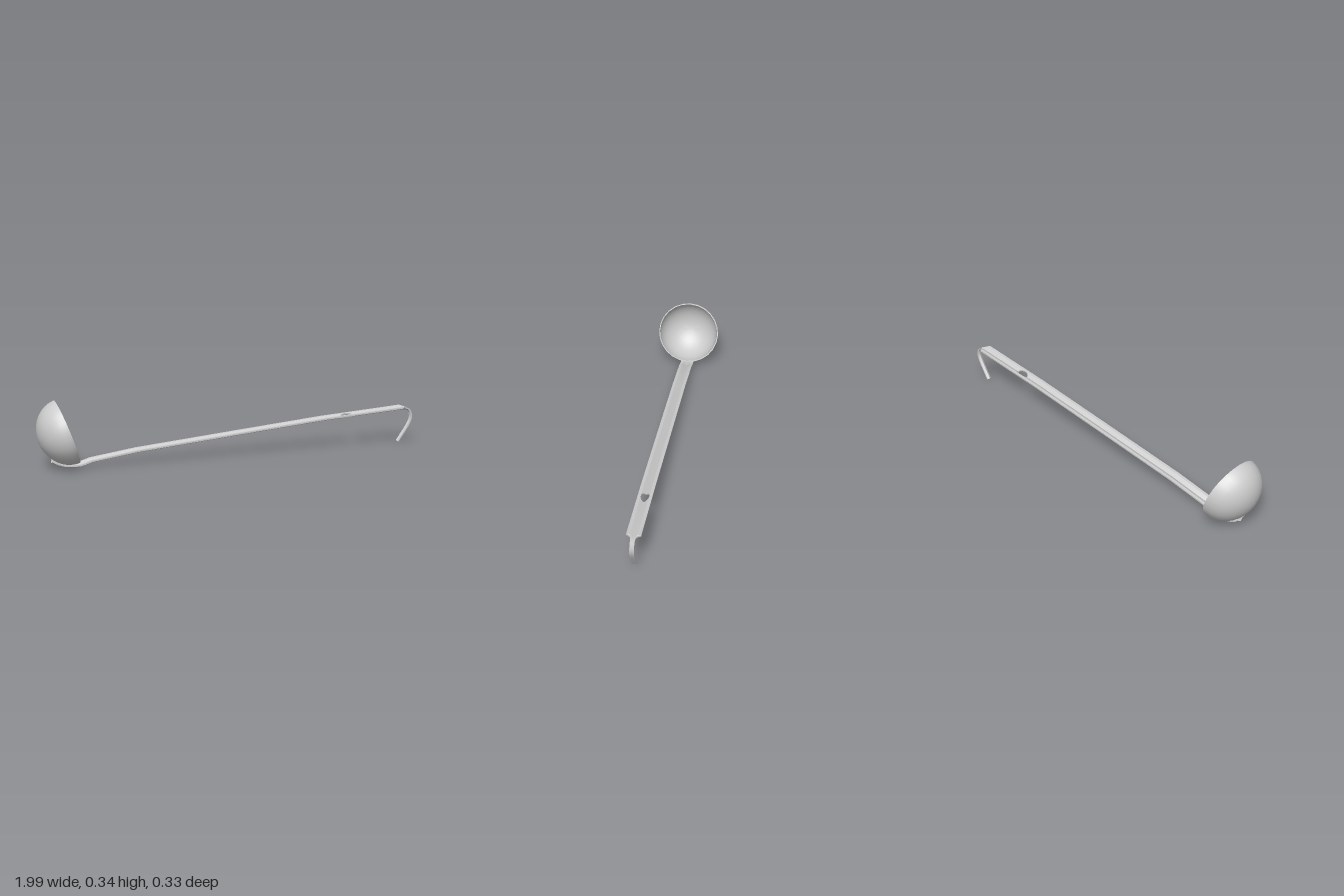
import * as THREE from 'three';
import { toCreasedNormals } from 'three/addons/utils/BufferGeometryUtils.js';

const material = new THREE.MeshStandardMaterial({ color: 0xcccccc, side: THREE.DoubleSide });

// Half-ellipsoid shell, lathed from an outer and an inner arc
function makeBowl() {
  const steps = 9;
  const profile = [];
  const arc = (radius, depth, t) =>
    new THREE.Vector2(radius * Math.sin(t), -depth * Math.cos(t));
  for (let i = 0; i <= steps; i++) profile.push(arc(0.166, 0.148, (i / steps) * Math.PI / 2));
  for (let i = steps; i >= 0; i--) profile.push(arc(0.161, 0.143, (i / steps) * Math.PI / 2));
  const bowl = new THREE.Mesh(toCreasedNormals(new THREE.LatheGeometry(profile, 24), 0.7), material);
  bowl.name = 'bowl';
  bowl.rotation.z = -1.234;
  bowl.position.set(-0.845, 0.187, 0.002);
  return bowl;
}

// Stations along the strip: x, y, half width, half width of the hanging hole
function handleStations() {
  const W = 0.035;
  const stations = [
    [-0.92, 0.05, W, 0], [-0.893, 0.036, W, 0], [-0.867, 0.027, W, 0], [-0.83, 0.022, W, 0],
    [-0.79, 0.022, W, 0], [-0.76, 0.03, W, 0], [-0.73, 0.04, W, 0], [-0.5, 0.073, W, 0],
    [0, 0.121, W, 0], [0.5, 0.168, W, 0],
  ];
  const holeSteps = 12;
  for (let i = 0; i <= holeSteps; i++) {
    const a = (i / holeSteps) * Math.PI;
    const x = 0.625 - 0.036 * Math.cos(a);
    stations.push([x, 0.168 + (x - 0.5) * 0.068, W, 0.02 * Math.sin(a)]);
  }
  // shoulder narrowing into the hook
  stations.push(
    [0.935, 0.198, W, 0], [0.94, 0.198, 0.026, 0], [0.948, 0.198, 0.016, 0], [0.958, 0.197, 0.012, 0],
    [0.973, 0.192, 0.011, 0], [0.987, 0.181, 0.011, 0], [0.996, 0.164, 0.011, 0],
    [1.0, 0.145, 0.011, 0], [0.998, 0.125, 0.011, 0], [0.99, 0.105, 0.011, 0],
    [0.975, 0.078, 0.011, 0], [0.925, 0.004, 0.011, 0],
  );
  return stations;
}

// One half of the grooved strip, side = 1 or -1
function makeHandleHalf(side) {
  const thickness = 0.007;
  const groove = (z) => -0.012 * (1 - Math.min(z / 0.02, 1));
  const stations = handleStations();
  const last = stations.length - 1;
  const positions = [];
  const index = [];
  const tri = (a, b, c) => (side > 0 ? index.push(a, b, c) : index.push(a, c, b));

  stations.forEach(([x, y, width, hole], i) => {
    const before = stations[Math.max(i - 1, 0)];
    const after = stations[Math.min(i + 1, last)];
    const tangent = new THREE.Vector2(after[0] - before[0], after[1] - before[1]).normalize();
    const middle = Math.max(hole + 0.002, Math.min(0.02, width * 0.6));
    const columns = [hole, middle, width];
    const ring = [
      ...columns.map((z) => [z, groove(z)]),
      ...columns.reverse().map((z) => [z, groove(z) - thickness]),
    ];
    for (const [z, h] of ring) positions.push(x - tangent.y * h, y + tangent.x * h, z * side);
  });

  const n = 6;
  for (let i = 0; i < last; i++) {
    for (let j = 0; j < n; j++) {
      const a = i * n + j;
      const b = i * n + ((j + 1) % n);
      tri(a, b, a + n);
      tri(b, b + n, a + n);
    }
  }
  // end caps, one quad per column pair
  for (const [base, end] of [[0, false], [last * n, true]]) {
    for (const [a, b, c, d] of [[0, 1, 4, 5], [1, 2, 3, 4]]) {
      const q = (end ? [a, b, c, d] : [d, c, b, a]).map((k) => k + base);
      tri(q[0], q[1], q[2]);
      tri(q[0], q[2], q[3]);
    }
  }

  const geometry = new THREE.BufferGeometry();
  geometry.setAttribute('position', new THREE.Float32BufferAttribute(positions, 3));
  geometry.setIndex(index);
  const half = new THREE.Mesh(toCreasedNormals(geometry, 0.5), material);
  half.name = side > 0 ? 'handleFrontHalf' : 'handleBackHalf';
  return half;
}

export function createModel() {
  const model = new THREE.Group();
  model.name = 'ladle';
  const handle = new THREE.Group();
  handle.name = 'handleWithHook';
  handle.position.z = 0.003;
  handle.add(makeHandleHalf(1), makeHandleHalf(-1));
  model.add(makeBowl(), handle);
  return model;
}
